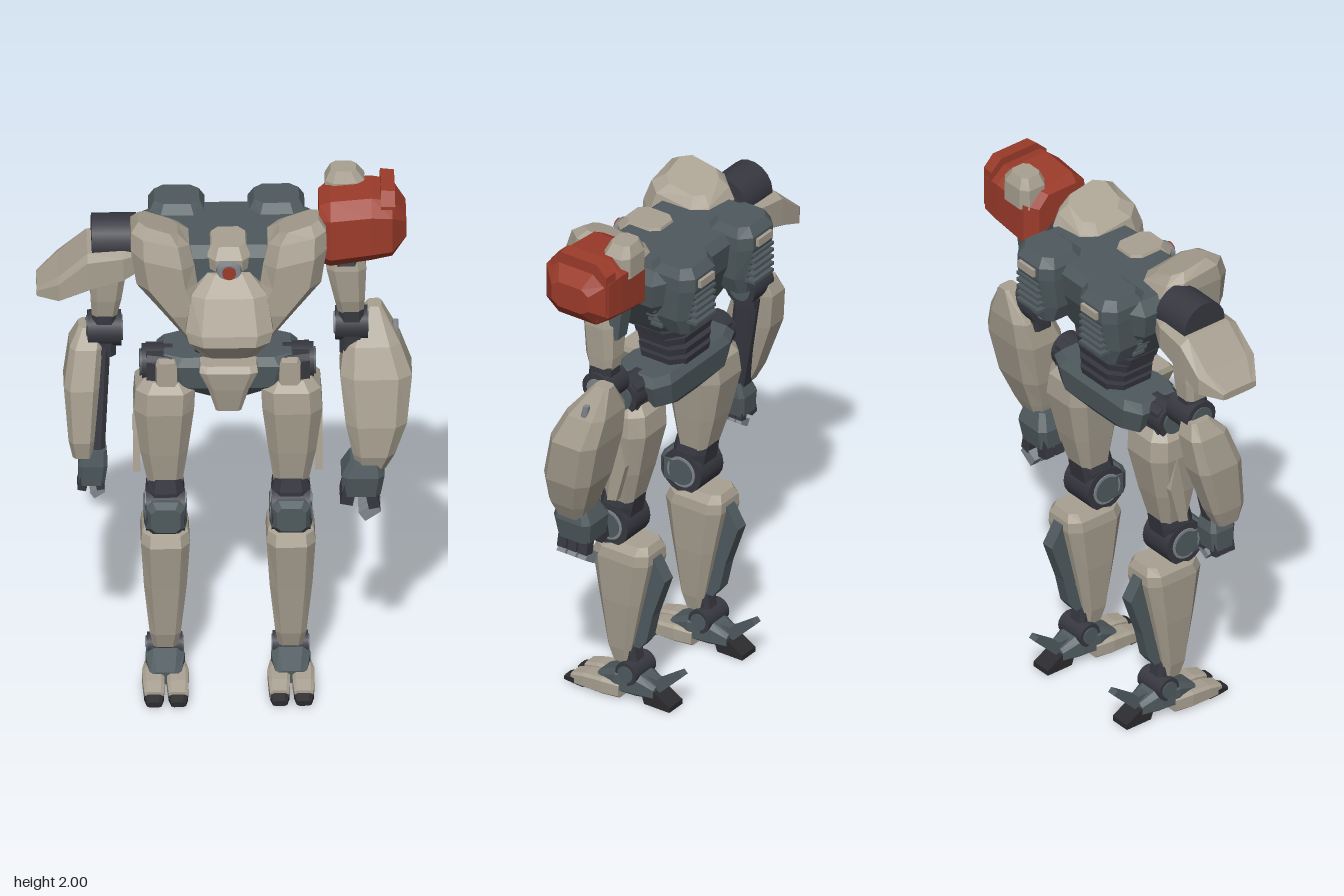
import * as THREE from 'three';

const paint = (name, color) => Object.assign(new THREE.MeshStandardMaterial({ color }), { name });

export function createModel() {
  const bone = paint('bone armour', 0xa8a091), slate = paint('slate frame', 0x4f5a5e);
  const dark = paint('dark joint', 0x373840), steel = paint('steel', 0x7f868c);
  const red = paint('red armour', 0x9b3b2a), black = paint('black sole', 0x2b2b2f);

  const model = new THREE.Group();
  model.name = 'walkingMech';

  const put = (parent, name, geo, mat, x = 0, y = 0, z = 0, rx = 0, ry = 0, rz = 0) => {
    const mesh = new THREE.Mesh(geo, mat);
    mesh.name = name;
    mesh.position.set(x, y, z);
    mesh.rotation.set(rx, ry, rz);
    parent.add(mesh);
    return mesh;
  };

  // Faceted octagonal loft. Sections: [along axis, centre u, centre v, half u, half v, tilt over u, tilt over v]
  const place = {
    x: (s, u, v) => [s, u, v],
    y: (s, u, v) => [u, s, v],
    z: (s, u, v) => [u, v, s],
  };
  const loft = (parent, name, mat, axis, sections, m = 1, k = 0.4) => {
    const rings = sections.map(([s, cu, cv, a, b, tu = 0, tv = 0]) => {
      const c = 1 - k;
      return [[1, -c], [1, c], [c, 1], [-c, 1], [-1, c], [-1, -c], [-c, -1], [c, -1]].map(([p, q]) => {
        const [x, y, z] = place[axis](s + tu * p + tv * q, cu + p * a, cv + q * b);
        return new THREE.Vector3(x * m, y, z);
      });
    });
    const tris = [];
    for (let i = 0; i < rings.length - 1; i++) for (let j = 0; j < 8; j++) {
      const n = (j + 1) % 8, [A, B] = [rings[i], rings[i + 1]];
      tris.push([A[j], A[n], B[n]], [A[j], B[n], B[j]]);
    }
    const end = rings[rings.length - 1];
    for (let j = 1; j < 7; j++) tris.push([rings[0][0], rings[0][j + 1], rings[0][j]], [end[0], end[j], end[j + 1]]);
    const volume = tris.reduce((t, [a, b, c]) => t + a.dot(b.clone().cross(c)), 0);
    const points = tris.flatMap(([a, b, c]) => (volume < 0 ? [a, c, b] : [a, b, c]));
    const geo = new THREE.BufferGeometry().setFromPoints(points);
    geo.computeVertexNormals();
    return put(parent, name, geo, mat);
  };

  // Side profile of (z, y) points, extruded across x
  const slab = (parent, name, mat, profile, width, x = 0) => {
    const shape = new THREE.Shape(profile.map(([z, y]) => new THREE.Vector2(z, y)));
    const geo = new THREE.ExtrudeGeometry(shape, { depth: width, bevelEnabled: false });
    return put(parent, name, geo.translate(0, 0, -width / 2).rotateY(-Math.PI / 2), mat, x);
  };
  const axle = (parent, name, mat, r, len, x, y, z) =>
    put(parent, name, new THREE.CylinderGeometry(r, r, len, 18).rotateZ(Math.PI / 2), mat, x, y, z);
  const box = (parent, name, mat, w, h, d, ...at) => put(parent, name, new THREE.BoxGeometry(w, h, d), mat, ...at);

  const body = new THREE.Group();
  body.name = 'body';
  body.position.x = 0.012;
  model.add(body);

  // Torso, chest, head
  loft(body, 'torso', slate, 'y', [[1.455, 0, 0.03, 0.13, 0.13], [1.52, 0, 0.015, 0.195, 0.15],
    [1.68, 0, -0.025, 0.31, 0.182], [1.78, 0, -0.035, 0.33, 0.187], [1.815, 0, -0.04, 0.28, 0.155]], 1, 0.28);
  loft(body, 'chestPlate', bone, 'y', [[1.425, 0, 0.205, 0.09, 0.04], [1.5, 0, 0.2, 0.143, 0.105],
    [1.54, 0, 0.188, 0.155, 0.108], [1.66, 0, 0.16, 0.135, 0.075], [1.725, 0, 0.13, 0.075, 0.04]], 1, 0.36);
  loft(body, 'head', bone, 'y', [[1.74, 0, 0.085, 0.08, 0.09], [1.785, 0, 0.085, 0.08, 0.095], [1.825, 0, 0.075, 0.06, 0.075]]);
  loft(body, 'collar', dark, 'y', [[1.68, 0, 0.08, 0.12, 0.07], [1.76, 0, 0.08, 0.11, 0.07]]);
  const eyeRing = new THREE.CylinderGeometry(0.036, 0.044, 0.05, 18).rotateX(Math.PI / 2).scale(1.15, 0.8, 1);
  put(body, 'eyeHousing', eyeRing, steel, 0, 1.75, 0.178);
  put(body, 'eyeLens', new THREE.CylinderGeometry(0.024, 0.024, 0.012, 18).rotateX(Math.PI / 2), red, 0, 1.75, 0.208);

  // Waist: separate stacked rings
  [[1.325, 0.12], [1.367, 0.125], [1.413, 0.138], [1.45, 0.158]].forEach(([y, w]) =>
    loft(body, 'waistRing', dark, 'y', [[y, 0, -0.035, w * 0.96, 0.1], [y + 0.028, 0, -0.035, w, 0.106]]));

  // Pelvis
  loft(body, 'pelvis', slate, 'y', [[1.15, 0, -0.03, 0.08, 0.06], [1.21, 0, -0.03, 0.22, 0.11],
    [1.3, 0, -0.03, 0.25, 0.12], [1.33, 0, -0.03, 0.225, 0.1]], 1, 0.28);
  loft(body, 'pelvisPlate', bone, 'y', [[1.145, 0, 0.1, 0.045, 0.03], [1.24, 0, 0.105, 0.072, 0.045],
    [1.31, 0, 0.108, 0.104, 0.05], [1.332, 0, 0.1, 0.1, 0.04]], 1, 0.25);

  for (const m of [-1, 1]) {
    // Collar pods with tops sloping inward, narrowing down behind the chest plate
    loft(body, 'collarPod', bone, 'y', [[1.45, 0.1, 0.15, 0.035, 0.045], [1.58, 0.155, 0.12, 0.08, 0.1],
      [1.69, 0.22, 0.09, 0.108, 0.13], [1.79, 0.235, 0.07, 0.113, 0.15, 0.03, 0],
      [1.85, 0.243, 0.07, 0.103, 0.125, 0.025, 0.015], [1.88, 0.25, 0.065, 0.07, 0.085, 0.025, 0.015]], m);

    // Back packs with vents
    loft(body, 'backPack', slate, 'y', [[1.56, 0.175, -0.2, 0.06, 0.05], [1.63, 0.177, -0.185, 0.09, 0.08],
      [1.76, 0.177, -0.195, 0.1, 0.1], [1.81, 0.177, -0.195, 0.1, 0.1], [1.845, 0.177, -0.2, 0.08, 0.07]], m);
    for (let i = 0; i < 5; i++) {
      box(body, 'packVent', slate, 0.12, 0.012, 0.05, m * 0.177, 1.625 + i * 0.028, -0.275);
      box(body, 'flankVent', slate, 0.05, 0.012, 0.05, m * (0.22 + i * 0.014), 1.57 + i * 0.028, -0.13);
    }
    box(body, 'packCap', bone, 0.085, 0.03, 0.015, m * 0.177, 1.785, -0.3);

    // Hip joint
    axle(body, 'hipJoint', dark, 0.067, 0.11, m * 0.25, 1.265, -0.02);
    axle(body, 'hipCap', slate, 0.048, 0.012, m * 0.307, 1.265, -0.02);
    loft(body, 'hipCollar', dark, 'x', [[0.2, 1.265, 0, 0.06, 0.085], [0.29, 1.265, -0.01, 0.06, 0.07]], m, 0.3);
    loft(body, 'hipPatch', bone, 'z', [[0.06, m * 0.218, 1.268, 0.042, 0.054], [0.09, m * 0.218, 1.268, 0.036, 0.048]], 1, 0.3);

    const leg = new THREE.Group();
    leg.name = m > 0 ? 'leftLeg' : 'rightLeg';
    leg.position.x = m * 0.223;
    body.add(leg);

    // Thigh and knee
    loft(leg, 'thigh', bone, 'y', [[0.8, 0, 0.02, 0.058, 0.058], [0.95, 0.005, 0.01, 0.085, 0.09],
      [1.12, 0.005, 0, 0.107, 0.118], [1.2, 0, 0, 0.106, 0.11], [1.235, 0, 0, 0.075, 0.08]], m);
    slab(leg, 'thighStrip', bone, [[0.02, 0.84], [0, 0.98], [-0.03, 1.13], [-0.06, 1.0], [-0.02, 0.85]], 0.026, m * 0.1);
    loft(leg, 'kneeYoke', dark, 'y', [[0.72, 0, 0.035, 0.064, 0.06], [0.79, 0, 0.03, 0.067, 0.068], [0.84, 0, 0.02, 0.056, 0.068]]);
    axle(leg, 'kneeJoint', dark, 0.085, 0.138, 0, 0.71, 0.045);
    axle(leg, 'kneeRing', steel, 0.06, 0.146, 0, 0.71, 0.045);
    axle(leg, 'kneeHub', slate, 0.05, 0.152, 0, 0.71, 0.045);
    loft(leg, 'kneeCap', slate, 'z', [[0.07, 0, 0.705, 0.076, 0.066], [0.12, 0, 0.705, 0.07, 0.064], [0.146, 0, 0.705, 0.052, 0.046]], 1, 0.35);

    // Shin, calf fin and ankle
    loft(leg, 'shin', bone, 'y', [[0.14, 0, 0.015, 0.042, 0.036], [0.2, 0, 0.02, 0.055, 0.05],
      [0.4, 0, 0.01, 0.076, 0.087], [0.58, 0, 0.002, 0.087, 0.121], [0.62, 0, -0.006, 0.082, 0.112], [0.65, 0, -0.035, 0.06, 0.07]], 1, 0.36);
    slab(leg, 'calfFin', slate, [[-0.07, 0.62], [-0.12, 0.6], [-0.17, 0.52], [-0.115, 0.36], [-0.09, 0.25],
      [-0.06, 0.21], [0, 0.21], [-0.06, 0.32], [-0.08, 0.48]], 0.05);
    loft(leg, 'anklePost', dark, 'y', [[0.09, 0, -0.02, 0.035, 0.035], [0.22, 0, 0, 0.04, 0.035]]);
    axle(leg, 'ankleJoint', dark, 0.045, 0.125, 0, 0.11, -0.025);
    axle(leg, 'ankleHub', slate, 0.032, 0.134, 0, 0.11, -0.025);

    // Foot
    loft(leg, 'foot', slate, 'z', [[-0.13, 0, 0.05, 0.04, 0.025], [-0.05, 0, 0.068, 0.06, 0.05],
      [0.02, 0, 0.068, 0.07, 0.05], [0.11, 0, 0.045, 0.055, 0.025]]);
    slab(leg, 'heelSpur', slate, [[-0.06, 0.1], [-0.13, 0.1], [-0.225, 0.165], [-0.24, 0.15], [-0.14, 0.05], [-0.06, 0.04]], 0.035);
    slab(leg, 'heel', black, [[-0.07, 0.06], [-0.13, 0.06], [-0.2, 0.02], [-0.2, 0], [-0.09, 0]], 0.08);
    for (const t of [-1, 1]) {
      loft(leg, 'toe', bone, 'z', [[0, t * 0.04, 0.035, 0.032, 0.03], [0.07, t * 0.043, 0.036, 0.04, 0.033],
        [0.15, t * 0.043, 0.031, 0.038, 0.029], [0.205, t * 0.043, 0.023, 0.034, 0.021]], 1, 0.3);
      loft(leg, 'toeTip', black, 'z', [[0.15, t * 0.043, 0.012, 0.036, 0.012], [0.2, t * 0.043, 0.018, 0.035, 0.018],
        [0.238, t * 0.043, 0.01, 0.026, 0.01]]);
    }
  }

  // Left shoulder
  const left = new THREE.Group();
  left.name = 'leftArm';
  model.add(left);
  loft(left, 'redShoulder', red, 'x', [[0.335, 1.815, -0.02, 0.115, 0.105], [0.375, 1.82, -0.028, 0.13, 0.138],
    [0.52, 1.838, -0.028, 0.125, 0.14], [0.595, 1.84, -0.028, 0.112, 0.135], [0.645, 1.835, -0.03, 0.05, 0.08]]);
  loft(left, 'shoulderFin', red, 'x', [[0.555, 1.865, -0.04, 0.122, 0.125], [0.605, 1.865, -0.04, 0.118, 0.12]], 1, 0.35);
  loft(left, 'shoulderKnob', bone, 'y', [[1.88, 0.43, -0.115, 0.072, 0.058], [1.96, 0.43, -0.115, 0.07, 0.057], [2, 0.425, -0.115, 0.045, 0.04]]);
  axle(left, 'shoulderAxle', dark, 0.075, 0.16, 0.3, 1.74, -0.03);

  // Left arm
  loft(left, 'armSocket', slate, 'y', [[1.6, 0.435, -0.055, 0.045, 0.055], [1.72, 0.43, -0.04, 0.055, 0.085]]);
  loft(left, 'upperArm', bone, 'y', [[1.46, 0.45, -0.045, 0.045, 0.045], [1.52, 0.445, -0.04, 0.054, 0.058],
    [1.65, 0.433, -0.035, 0.071, 0.064], [1.71, 0.43, -0.035, 0.065, 0.055]]);
  axle(left, 'elbow', dark, 0.062, 0.115, 0.452, 1.4, -0.05);
  axle(left, 'elbowHub', steel, 0.04, 0.125, 0.452, 1.4, -0.05);
  loft(left, 'elbowPost', dark, 'y', [[1.3, 0.455, -0.04, 0.045, 0.045], [1.5, 0.45, -0.045, 0.046, 0.048]]);
  loft(left, 'forearm', bone, 'y', [[0.87, 0.52, 0.037, 0.05, 0.052], [0.935, 0.529, 0.033, 0.075, 0.077],
    [1.055, 0.538, 0.01, 0.109, 0.1], [1.23, 0.538, -0.029, 0.128, 0.1], [1.335, 0.525, -0.06, 0.1, 0.082], [1.45, 0.535, -0.103, 0.025, 0.032]], 1, 0.38);
  loft(left, 'forearmSpike', steel, 'y', [[1.25, 0.607, -0.05, 0.014, 0.02], [1.39, 0.61, -0.08, 0.01, 0.01]]);

  // Right shoulder
  const right = new THREE.Group();
  right.name = 'rightArm';
  model.add(right);
  axle(right, 'shoulderDrum', dark, 0.092, 0.16, -0.392, 1.768, -0.025);
  axle(right, 'shoulderAxle', dark, 0.07, 0.16, -0.28, 1.74, -0.03);
  loft(right, 'pauldron', bone, 'x', [[-0.667, 1.59, -0.022, 0.014, 0.075], [-0.59, 1.62, -0.022, 0.046, 0.127],
    [-0.488, 1.683, -0.022, 0.076, 0.127], [-0.36, 1.708, -0.02, 0.06, 0.12], [-0.3, 1.72, -0.02, 0.045, 0.09]], 1, 0.28);

  // Right arm
  loft(right, 'upperArm', bone, 'y', [[1.46, -0.425, -0.045, 0.045, 0.045], [1.53, -0.42, -0.04, 0.055, 0.055],
    [1.66, -0.411, -0.035, 0.065, 0.062], [1.71, -0.41, -0.035, 0.055, 0.05]]);
  axle(right, 'elbow', dark, 0.065, 0.12, -0.425, 1.39, -0.05);
  axle(right, 'elbowHub', slate, 0.045, 0.13, -0.425, 1.39, -0.05);
  loft(right, 'elbowPost', dark, 'y', [[1.3, -0.43, -0.04, 0.045, 0.045], [1.49, -0.425, -0.045, 0.042, 0.045]]);
  loft(right, 'forearmCore', dark, 'y', [[0.92, -0.465, 0.03, 0.038, 0.04], [1.33, -0.445, -0.04, 0.04, 0.05]]);
  loft(right, 'forearm', bone, 'y', [[0.93, -0.505, 0.04, 0.035, 0.045], [1.0, -0.509, 0.03, 0.046, 0.07],
    [1.2, -0.508, -0.015, 0.063, 0.095], [1.34, -0.492, -0.05, 0.058, 0.08], [1.4, -0.475, -0.07, 0.042, 0.04]], 1, 0.35);

  // Hands: palm, curled fingers and steel tips
  const hand = (arm, x, y, s) => {
    loft(arm, 'palm', slate, 'y', [[y - 0.05, x - 0.005, 0.03, 0.068 * s, 0.068 * s], [y + 0.03, x, 0.03, 0.077 * s, 0.08 * s],
      [y + 0.09, x + 0.01, 0.035, 0.055 * s, 0.06 * s]], 1, 0.28);
    for (let i = -1; i <= 1; i++) {
      const z = 0.03 + i * 0.045 * s;
      box(arm, 'finger', dark, 0.045 * s, 0.09 * s, 0.038 * s, x - 0.05 * s, y - 0.04, z, 0, 0, -0.2);
      box(arm, 'knuckle', dark, 0.04 * s, 0.06 * s, 0.038 * s, x + 0.035 * s, y - 0.07 * s, z, 0, 0, 0.2);
      box(arm, 'fingerTip', steel, 0.068 * s, 0.042 * s, 0.036 * s, x + 0.024 * s, y - 0.115 * s, z, 0, 0, 0.6);
    }
  };
  hand(left, 0.49, 0.82, 1);
  hand(right, -0.468, 0.865, 0.68);

  return model;
}
